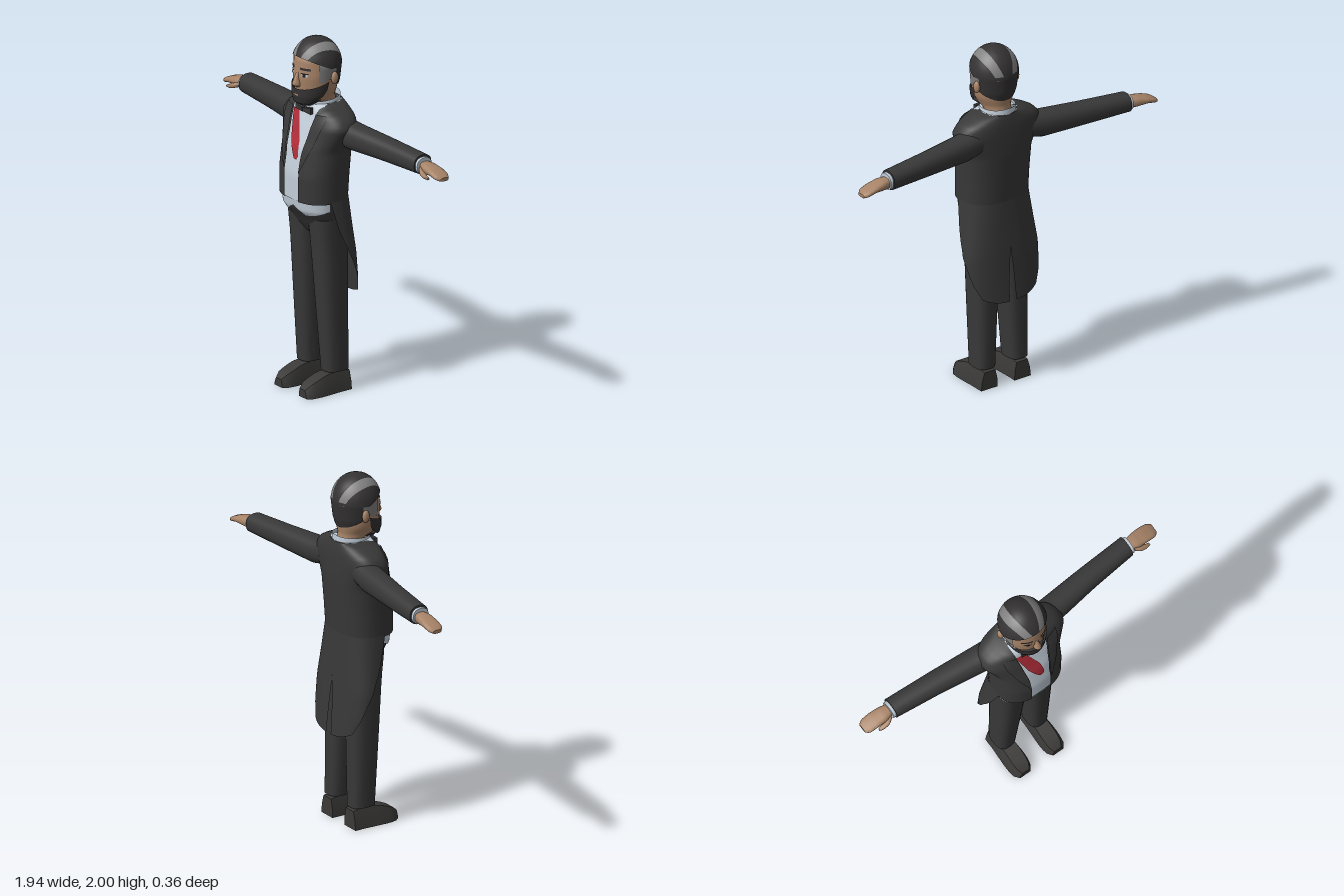
import * as THREE from 'three';
import { mergeVertices, toCreasedNormals } from 'three/addons/utils/BufferGeometryUtils.js';

const mat = (name, color) => Object.assign(new THREE.MeshStandardMaterial({ color, side: THREE.DoubleSide }), { name });
const M = {
  suit: mat('black suit', 0x383838),
  shoe: mat('shoe leather', 0x3b3a39),
  hair: mat('dark hair', 0x343232),
  grey: mat('grey hair', 0x828282),
  skin: mat('skin', 0xa88468),
  shirt: mat('white shirt', 0xc3ced9),
  red: mat('red sash', 0xb02c38),
  eye: mat('eye black', 0x1c1a1a),
};

// piecewise linear lookup in rows [key, value, ...], keys ascending
function at(rows, y) {
  let i = 0;
  while (i < rows.length - 2 && y > rows[i + 1][0]) i++;
  const [a, b] = [rows[i], rows[i + 1]];
  const t = THREE.MathUtils.clamp((y - a[0]) / (b[0] - a[0]), 0, 1);
  return a.map((v, k) => v + (b[k] - v) * t);
}
const pw = (v, e) => Math.sign(v) * Math.abs(v) ** e;
// angle (0 = front) at which a ring reaches a given x
const ang = (rings, x, y, e) => Math.asin(pw(Math.min(1, Math.abs(x) / at(rings, y)[1]), 1 / e)) * Math.sign(x);

function finish(name, pos, idx, material, crease = 0.8) {
  let g = new THREE.BufferGeometry();
  g.setAttribute('position', new THREE.Float32BufferAttribute(pos, 3));
  g.setIndex(idx);
  g = toCreasedNormals(mergeVertices(g, 1e-5), crease);
  const m = new THREE.Mesh(g, material);
  m.name = name;
  return m;
}

// skin over rings [y, halfWidth, zFront, zBack, centreX]; whole or part of the way round
function body(name, material, rings, o = {}) {
  const { e = 1, off = 0, nu = 28, nv = 14, cap = false } = o;
  const y0 = rings[0][0], y1 = rings[rings.length - 1][0];
  const { a0 = () => -Math.PI, a1 = () => Math.PI, lo = () => y0, hi = () => y1 } = o;
  const pos = [], idx = [], n = nu + 1;
  for (let j = 0; j <= nv; j++) for (let i = 0; i <= nu; i++) {
    const s = i / nu, y = lo(s) + (hi(s) - lo(s)) * j / nv;
    const th = a0(y) + (a1(y) - a0(y)) * s;
    const [, w, zf, zb, cx = 0] = at(rings, y);
    pos.push(cx + (w + off) * pw(Math.sin(th), e), y, (zf + zb) / 2 + ((zf - zb) / 2 + off) * pw(Math.cos(th), e));
    if (i < nu && j < nv) {
      const a = j * n + i;
      idx.push(a, a + 1, a + n + 1, a, a + n + 1, a + n);
    }
  }
  if (cap) for (const [y, row] of [[y0, 0], [y1, nv * n]]) {
    const [, , zf, zb, cx = 0] = at(rings, y), c = pos.length / 3;
    pos.push(cx, y, (zf + zb) / 2);
    for (let i = row; i < row + nu; i++) row ? idx.push(c, i, i + 1) : idx.push(c, i + 1, i);
  }
  return finish(name, pos, idx, material);
}

// strip of the hair dome between two side angles that vary from forehead to crown back
function hairStrip(name, material, from, to) {
  const pos = [], idx = [], nu = 6, nv = 18, n = nu + 1;
  for (let j = 0; j <= nv; j++) for (let i = 0; i <= nu; i++) {
    const t = j / nv, b = 0.41 + (Math.PI - 0.41) * t, a = from(t) + (to(t) - from(t)) * i / nu;
    pos.push(0.135 * Math.sin(a), 1.85 + 0.15 * Math.cos(a) * Math.sin(b), 0.004 + 0.137 * Math.cos(a) * Math.cos(b));
    if (i < nu && j < nv) {
      const k = j * n + i;
      idx.push(k, k + 1, k + n + 1, k, k + n + 1, k + n);
    }
  }
  return finish(name, pos, idx, material);
}

const TORSO = [[1.105, .2, .178, -.13], [1.25, .203, .178, -.14], [1.4, .208, .152, -.15], [1.46, .235, .13, -.15],
  [1.53, .266, .108, -.148], [1.58, .24, .09, -.145], [1.615, .18, .085, -.14], [1.64, .11, .07, -.135]];
const OPENING = [[1.1, .06], [1.35, .064], [1.5, .085], [1.64, .105]];
const LAPEL = [[1.27, .066], [1.4, .12], [1.54, .165], [1.6, .17]];
const PELVIS = [[.9, .13, .06, -.08], [.95, .165, .092, -.105], [1, .178, .12, -.11], [1.05, .186, .152, -.11], [1.12, .188, .162, -.11]];
const HEAD = [[1.58, .07, .045, -.105], [1.65, .075, .05, -.105], [1.67, .085, .11, -.1], [1.72, .11, .13, -.108],
  [1.8, .12, .136, -.115], [1.9, .12, .128, -.12], [1.95, .085, .085, -.085], [1.97, .05, .05, -.05]];
const HAIR = [[1.7, .105, .13, -.107], [1.76, .122, .135, -.124], [1.86, .134, .138, -.134], [1.93, .122, .13, -.12]];

// parts that exist on both sides, modelled on +x
function sideParts(g) {
  const limb = (...args) => { const m = body(...args); m.rotation.z = -Math.PI / 2; g.add(m); };
  limb('sleeve', M.suit, [[.16, .07, .02, -.13, -1.5], [.25, .074, .008, -.14, -1.485], [.5, .064, -.03, -.16, -1.48],
    [.785, .054, -.062, -.178, -1.473]], { e: .85, cap: true });
  limb('cuff', M.shirt, [[.76, .045, -.07, -.168, -1.47], [.802, .045, -.07, -.168, -1.47]], { e: .85, cap: true, nv: 2 });
  limb('hand', M.skin, [[.79, .03, -.09, -.155, -1.465], [.84, .028, -.077, -.166, -1.465], [.9, .019, -.077, -.172, -1.46],
    [.95, .015, -.08, -.17, -1.446], [.97, .01, -.1, -.155, -1.438]], { e: .7, cap: true, nu: 16 });
  limb('thumb', M.skin, [[.81, .014, -.075, -.11, -1.46], [.84, .015, -.056, -.095, -1.45], [.87, .012, -.055, -.082, -1.44],
    [.9, .006, -.062, -.078, -1.432]], { e: .8, cap: true, nu: 12 });

  g.add(body('trouserLeg', M.suit, [[.12, .06, .036, -.11, .107], [.5, .073, .062, -.108, .098], [.85, .084, .085, -.108, .09],
    [1, .087, .1, -.1, .09]], { e: .72, cap: true }));

  // shoe: box shaped by a height profile and a tapered upper
  const shoe = new THREE.BoxGeometry(1, 1, 1, 2, 2, 10), p = shoe.attributes.position;
  const last = [[-.11, .105, .054], [-.04, .115, .054], [.05, .108, .06], [.11, .087, .062], [.16, .065, .054], [.18, .045, .034]];
  for (let i = 0; i < p.count; i++) {
    const z = .035 + p.getZ(i) * .29, [, h, w] = at(last, z), v = p.getY(i) + .5;
    p.setXYZ(i, .11 - v * .004 + p.getX(i) * 2 * w * (1 - .33 * v * v), v * h, z);
  }
  const shoeMesh = new THREE.Mesh(toCreasedNormals(shoe, .6), M.shoe);
  shoeMesh.name = 'shoe';
  g.add(shoeMesh);

  // coat tail, split at the centre back
  const edge = [[.52, 2.35], [.6, 2.15], [.8, 1.66], [.95, 1.47], [1.11, 1.38]];
  g.add(body('coatTail', M.suit, [[.52, .2, 0, -.176], [.65, .235, .06, -.165], [.8, .24, .1, -.155], [.95, .22, .13, -.143],
    [1.115, .2, .17, -.131]], {
    e: .8, a0: y => at(edge, y)[1], a1: y => Math.PI - Math.max(0, .83 - y) * .2, lo: s => .53 + .04 * (1 - s) ** 2,
  }));

  g.add(body('lapel', M.suit, TORSO, {
    e: .8, off: .008, nu: 6, lo: () => 1.27, hi: () => 1.6,
    a0: y => ang(TORSO, at(OPENING, y)[1], y, .8), a1: y => ang(TORSO, at(LAPEL, y)[1], y, .8),
  }));

  // head details
  const wave = (a, b) => t => a + b * Math.sin(Math.PI * t);
  g.add(hairStrip('greyStreak', M.grey, wave(.16, .3), wave(.5, .36)));
  g.add(hairStrip('sideHair', M.hair, wave(.5, .36), () => Math.PI / 2));
  g.add(body('sideburn', M.grey, HAIR, { a0: () => 1.05, a1: () => 1.92, lo: s => 1.77 + .03 * s, hi: () => 1.9, nu: 8, off: -.002 }));
  const ear = new THREE.Mesh(new THREE.SphereGeometry(1, 12, 8), M.skin);
  ear.name = 'ear';
  ear.scale.set(.016, .036, .022);
  ear.position.set(.13, 1.795, -.02);
  g.add(ear);
  const patch = (name, m, x0, x1, y0, y1, off) => g.add(body(name, m, HEAD, {
    off, nu: 4, nv: 2, a0: y => ang(HEAD, x0, y, 1), a1: y => ang(HEAD, x1, y, 1), lo: () => y0, hi: () => y1,
  }));
  patch('eyeWhite', M.shirt, .034, .066, 1.808, 1.822, .002);
  patch('iris', M.eye, .042, .058, 1.806, 1.824, .004);
  patch('upperLid', M.eye, .03, .07, 1.822, 1.828, .004);
  patch('eyebrow', M.hair, .024, .08, 1.843, 1.856, .004);

  // bow tie wing
  const wing = new THREE.Mesh(new THREE.BoxGeometry(.06, .036, .02), M.suit), wp = wing.geometry.attributes.position;
  for (let i = 0; i < wp.count; i++) if (wp.getX(i) < 0) wp.setY(i, wp.getY(i) * .55);
  wing.name = 'bowTieWing';
  wing.position.set(.037, 1.607, .092);
  wing.rotation.y = .2;
  g.add(wing);
}

export function createModel() {
  const root = new THREE.Group();
  root.name = 'gentleman';
  for (const s of [1, -1]) {
    const g = new THREE.Group();
    g.name = s > 0 ? 'leftSide' : 'rightSide';
    g.scale.x = s;
    sideParts(g);
    root.add(g);
  }

  // torso
  const openA = y => ang(TORSO, at(OPENING, y)[1], y, .8);
  root.add(body('shirtFront', M.shirt, TORSO, { e: .8, off: -.008, cap: true, nu: 40, nv: 20 }));
  root.add(body('tailcoat', M.suit, TORSO, { e: .8, nu: 48, nv: 30, cap: true, a0: openA, a1: y => 2 * Math.PI - openA(y) }));
  const sash = [[1.335, .005, .025], [1.355, -.01, .036], [1.44, -.056, .022], [1.585, -.1, -.045]];
  root.add(body('sash', M.red, TORSO, {
    e: .8, nu: 6, off: -.003, lo: () => 1.335, hi: () => 1.585,
    a0: y => ang(TORSO, at(sash, y)[1], y, .8), a1: y => ang(TORSO, at(sash, y)[2], y, .8),
  }));
  root.add(body('trouserTop', M.suit, PELVIS, { e: .85, cap: true }));
  const hem = [[0, 1.068], [.25, 1.02], [.6, 1.035], [1, 1.06]];
  root.add(body('waistcoatHem', M.shirt, PELVIS, {
    e: .85, off: .006, nu: 32, a0: () => -1.4, a1: () => 1.4, lo: s => at(hem, Math.abs(s - .5) * 2)[1],
  }));

  // collar and bow tie
  root.add(body('collar', M.shirt, [[1.58, .105, .088, -.137], [1.675, .092, .07, -.134]], {
    nv: 4, hi: s => 1.645 + .03 * Math.abs(s - .5) * 2,
  }));
  const knot = new THREE.Mesh(new THREE.BoxGeometry(.022, .024, .028), M.suit);
  knot.name = 'bowTieKnot';
  knot.position.set(0, 1.607, .095);
  root.add(knot);

  // head
  root.add(body('head', M.skin, HEAD, { cap: true, nv: 26 }));
  root.add(body('nose', M.skin, [[1.742, .016, .145, .1], [1.757, .023, .167, .1], [1.79, .014, .156, .1], [1.83, .01, .136, .1]],
    { e: .9, cap: true, nu: 12 }));
  root.add(body('beard', M.hair, [[1.634, .045, .115, .02], [1.65, .078, .14, -.01], [1.69, .104, .147, -.06], [1.73, .117, .145, -.1],
    [1.79, .125, .142, -.115]], {
    cap: false, nu: 32, a0: () => -1.6, a1: () => 1.6,
    lo: s => 1.634 + .06 * (Math.abs(s - .5) * 2) ** 3, hi: s => 1.733 + .045 * (Math.abs(s - .5) * 2) ** 2,
  }));
  root.add(body('beardUnderside', M.hair, [[1.633, .045, .115, .02], [1.665, .085, .13, -.01]], { cap: true, nv: 3 }));
  root.add(body('mouth', M.skin, [[1.697, .11, .151, -.06], [1.706, .11, .151, -.06]], { nu: 6, nv: 1, a0: () => -.22, a1: () => .22 }));
  root.add(hairStrip('crownHair', M.hair, t => -.16 - .3 * Math.sin(Math.PI * t), t => .16 + .3 * Math.sin(Math.PI * t)));
  root.add(body('backHair', M.hair, HAIR, {
    a0: () => 1.85, a1: () => 2 * Math.PI - 1.85, lo: s => 1.715 + .05 * (Math.abs(s - .5) * 2) ** 2, hi: () => 1.87,
  }));
  return root;
}
